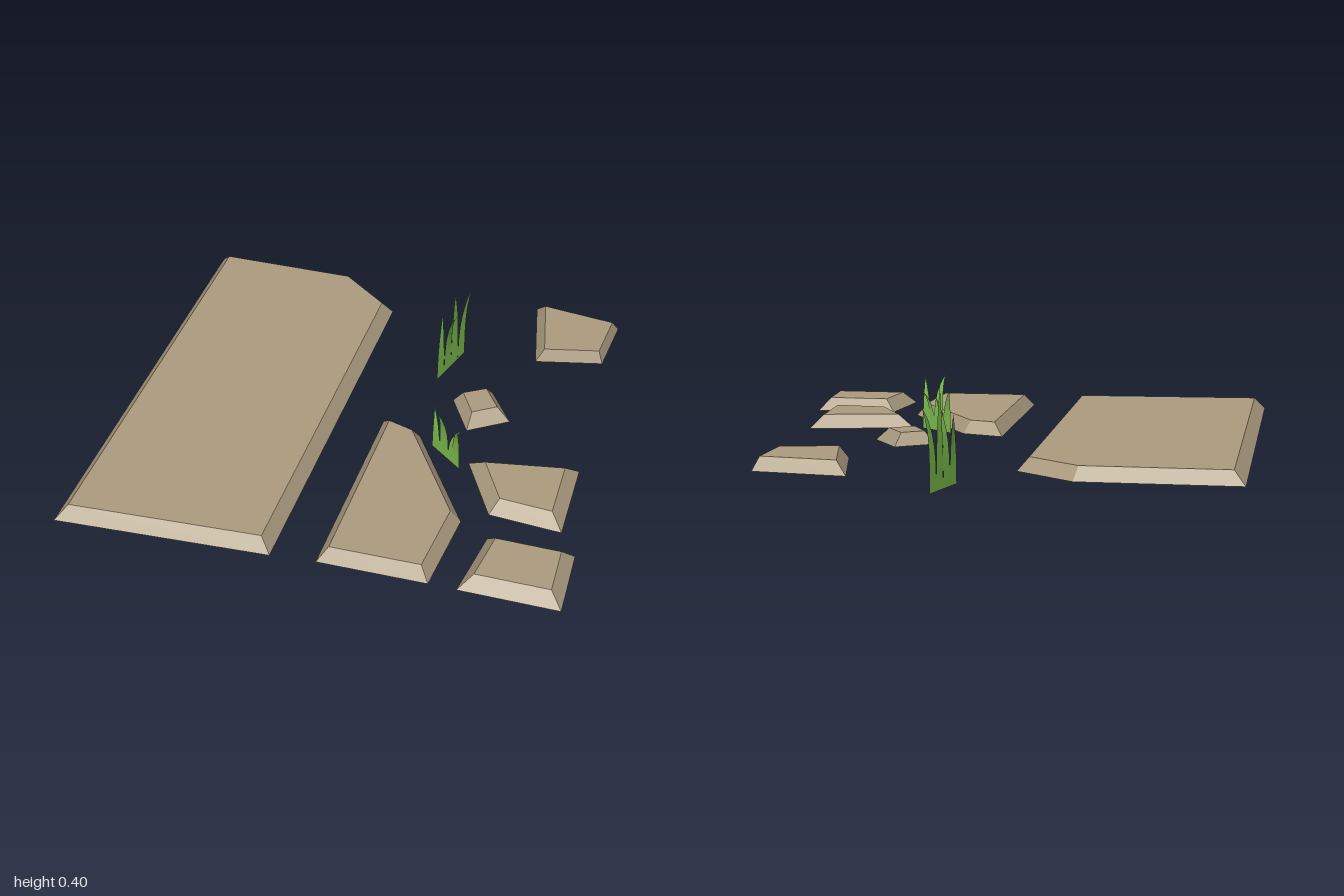
import * as THREE from 'three';

const Y0 = 0.11, Y1 = 0.163;

// Moves every edge of a ground outline inwards by d and returns the new corners
function insetOutline(outline, d, shift) {
  const pts = outline.map(([x, z]) => new THREE.Vector2(x, z));
  const n = pts.length;
  return pts.map((p, i) => {
    const a = p.clone().sub(pts[(i + n - 1) % n]).normalize();
    const b = pts[(i + 1) % n].clone().sub(p).normalize();
    const k = d / (1 + a.dot(b));
    return [p.x - (a.y + b.y) * k + shift, p.y + (a.x + b.x) * k + shift];
  });
}

// Bevelled flagstone, open underneath
function slabGeometry(outer, bevel, shift) {
  const inner = insetOutline(outer, bevel, shift);
  const pos = [];
  const low = i => [outer[i][0], Y0, outer[i][1]];
  const top = i => [inner[i][0], Y1, inner[i][1]];
  const tri = (a, b, c) => pos.push(...a, ...b, ...c);
  const n = outer.length;
  for (let i = 0; i < n; i++) {
    const j = (i + 1) % n;
    tri(low(i), top(i), top(j));
    tri(low(i), top(j), low(j));
    if (i > 0 && i < n - 1) tri(top(0), top(i + 1), top(i));
  }
  const g = new THREE.BufferGeometry();
  g.setAttribute('position', new THREE.Float32BufferAttribute(pos, 3));
  g.computeVertexNormals();
  return g;
}

// Thin blade that rises straight, then curls over and narrows to its tip
function bladeGeometry([root, width, tip, height, lean], [ox, oy, oz], [ux, uz]) {
  const pos = [], idx = [];
  const steps = 6;
  for (let i = 0; i <= steps; i++) {
    const t = i / steps, bend = t ** 3.5;
    const w = width * (1 - t ** 2.5);
    for (const e of [-0.5, 0.5]) {
      const s = root + (tip - root) * bend + e * w;
      const out = lean * bend;
      pos.push(ox + ux * s - uz * out, oy + height * t, oz + uz * s + ux * out);
    }
    if (i > 0) {
      const k = 2 * i;
      idx.push(k - 2, k - 1, k);
      if (i < steps) idx.push(k - 1, k + 1, k);
    }
  }
  const g = new THREE.BufferGeometry();
  g.setAttribute('position', new THREE.Float32BufferAttribute(pos, 3));
  g.setIndex(idx);
  g.computeVertexNormals();
  return g;
}

export function createModel() {
  const model = new THREE.Group();
  const stone = new THREE.MeshStandardMaterial({ color: 0xac9c80, side: THREE.DoubleSide });
  stone.name = 'sandy stone';
  const green = new THREE.MeshStandardMaterial({ color: 0x7fbf4f, side: THREE.DoubleSide });
  green.name = 'grass green';

  const addSlab = (name, bevel, shift, ...outline) => {
    const mesh = new THREE.Mesh(slabGeometry(outline, bevel, shift), stone);
    mesh.name = name;
    model.add(mesh);
  };

  // Each blade: root position along the tuft, width, tip position, height, sideways lean
  const addTuft = (name, origin, direction, ...blades) => {
    const tuft = new THREE.Group();
    tuft.name = name;
    for (const blade of blades) {
      const mesh = new THREE.Mesh(bladeGeometry(blade, origin, direction), green);
      mesh.name = 'grassBlade';
      tuft.add(mesh);
    }
    model.add(tuft);
  };

  // Paving stones: bevel width, offset of the top, ground corners as [x, z]
  addSlab('largeSlab', 0.045, 0, [-0.94, -0.97], [-0.31, -0.95], [-0.08, -0.76], [-0.13, 0.94], [-1, 0.96]);
  addSlab('mediumSlab', 0.04, 0, [0.08, 0.02], [0.25, 0.08], [0.53, 0.56], [0.49, 0.94], [0.05, 0.93]);
  addSlab('sideSlab', 0.05, 0, [0.48, 0.2], [0.92, 0.137], [0.92, 0.525], [0.625, 0.492]);
  addSlab('cornerSlab', 0.048, 0, [0.65, 0.63], [0.995, 0.645], [1, 0.96], [0.6, 0.945]);
  addSlab('backSlab', 0.03, 0.008, [0.535, -0.945], [0.91, -0.885], [0.885, -0.61], [0.605, -0.553]);
  addSlab('smallSlab', 0.038, -0.007, [0.325, -0.195], [0.475, -0.285], [0.585, -0.11], [0.425, -0.005]);

  // Grass tufts between the stones
  addTuft('tallGrass', [0.195, 0, -0.46], [0.29, -0.957],
    [0.03, 0.06, 0.09, 0.29, -0.03],
    [0.09, 0.06, 0.03, 0.35, 0.077],
    [0.15, 0.06, 0.103, 0.4, 0.021],
    [0.21, 0.06, 0.283, 0.35, 0.013]);
  addTuft('shortGrass', [0.31, 0.105, 0.12], [0.76, 0.65],
    [0.025, 0.05, -0.02, 0.185, -0.023],
    [0.08, 0.06, 0.082, 0.24, 0.042],
    [0.122, 0.03, 0.162, 0.17, -0.023],
    [0.158, 0.05, 0.21, 0.22, 0.037]);
  return model;
}
